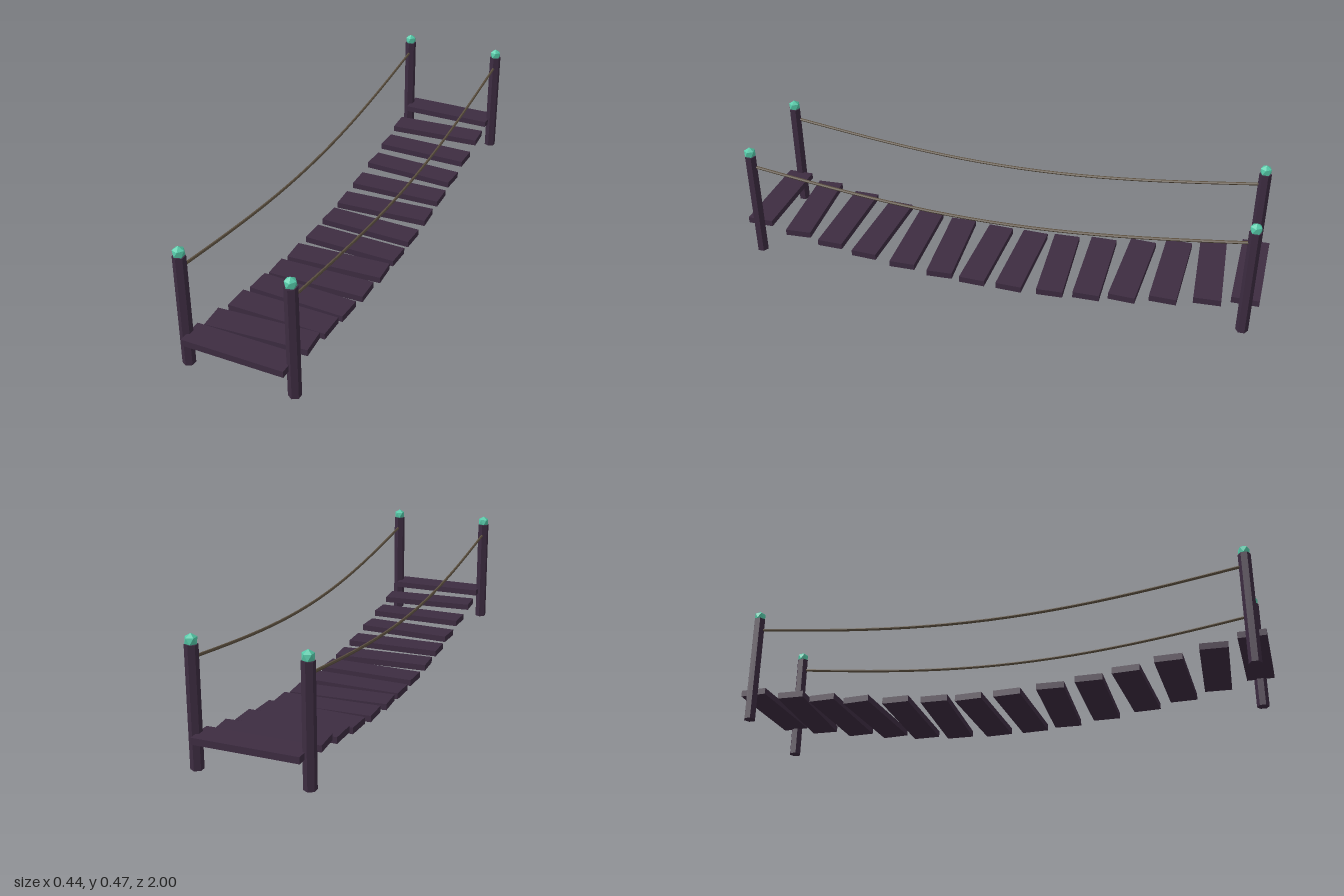
import * as THREE from 'three';
import { ConvexGeometry } from 'three/addons/geometries/ConvexGeometry.js';

const HALF = 0.95;    // distance from the middle to the posts
const RAIL_X = 0.2;

function material(name, color) {
  const m = new THREE.MeshStandardMaterial({ color, flatShading: true });
  m.name = name;
  return m;
}

// Twenty-sided gem standing on a point, with a corner of its upper ring towards +x
function gemGeometry(r) {
  const points = [new THREE.Vector3(0, r, 0), new THREE.Vector3(0, -r, 0)];
  for (let i = 0; i < 10; i++) {
    const a = (i * Math.PI) / 5;
    const y = i % 2 ? -0.447 : 0.447;
    points.push(new THREE.Vector3(0.894 * Math.cos(a), y, 0.894 * Math.sin(a)).multiplyScalar(r));
  }
  return new ConvexGeometry(points);
}

export function createModel() {
  const model = new THREE.Group();
  model.name = 'ropeBridge';
  const wood = material('darkWood', 0x3d2c41);
  const rope = material('rope', 0x5c5040);
  const crystal = material('crystal', 0x55c9a8);

  const add = (name, geometry, mat, x, y, z) => {
    const mesh = new THREE.Mesh(geometry, mat);
    mesh.name = name;
    mesh.position.set(x, y, z);
    model.add(mesh);
    return mesh;
  };

  // Sagging walkway of slightly crooked planks, mirrored about the middle
  const yaw = [-0.01, 0.058, -0.017, -0.048, 0.017, 0.048, -0.032];
  const plank = new THREE.BoxGeometry(0.38, 0.024, 0.101);
  const count = 14;
  for (let i = 0; i < count; i++) {
    const t = i / (count - 1);
    const y = 0.0115 + 0.119 * (1 - Math.sin(Math.PI * t));
    const mesh = add('plank', plank, wood, 0, y, -HALF + 2 * HALF * t);
    mesh.rotation.y = yaw[Math.min(i, count - 1 - i)];
  }

  // Six-sided corner posts topped with gems
  const post = new THREE.CylinderGeometry(0.023, 0.023, 0.427, 6);
  const gem = gemGeometry(0.0235);
  for (const x of [-RAIL_X, RAIL_X]) {
    for (const z of [-HALF, HALF]) {
      add('post', post, wood, x, 0.2255, z);
      add('postGem', gem, crystal, x, 0.4515, z);
    }
  }

  // Hanging hand ropes
  const path = [];
  for (let i = 0; i <= 12; i++) {
    const t = i / 12;
    path.push(new THREE.Vector3(0, 0.394 - 0.085 * Math.sin(Math.PI * t), -HALF + 2 * HALF * t));
  }
  const tube = new THREE.TubeGeometry(new THREE.CatmullRomCurve3(path), 24, 0.0055, 6);
  for (const x of [-RAIL_X, RAIL_X]) add('handRope', tube, rope, x, 0, 0);

  return model;
}
